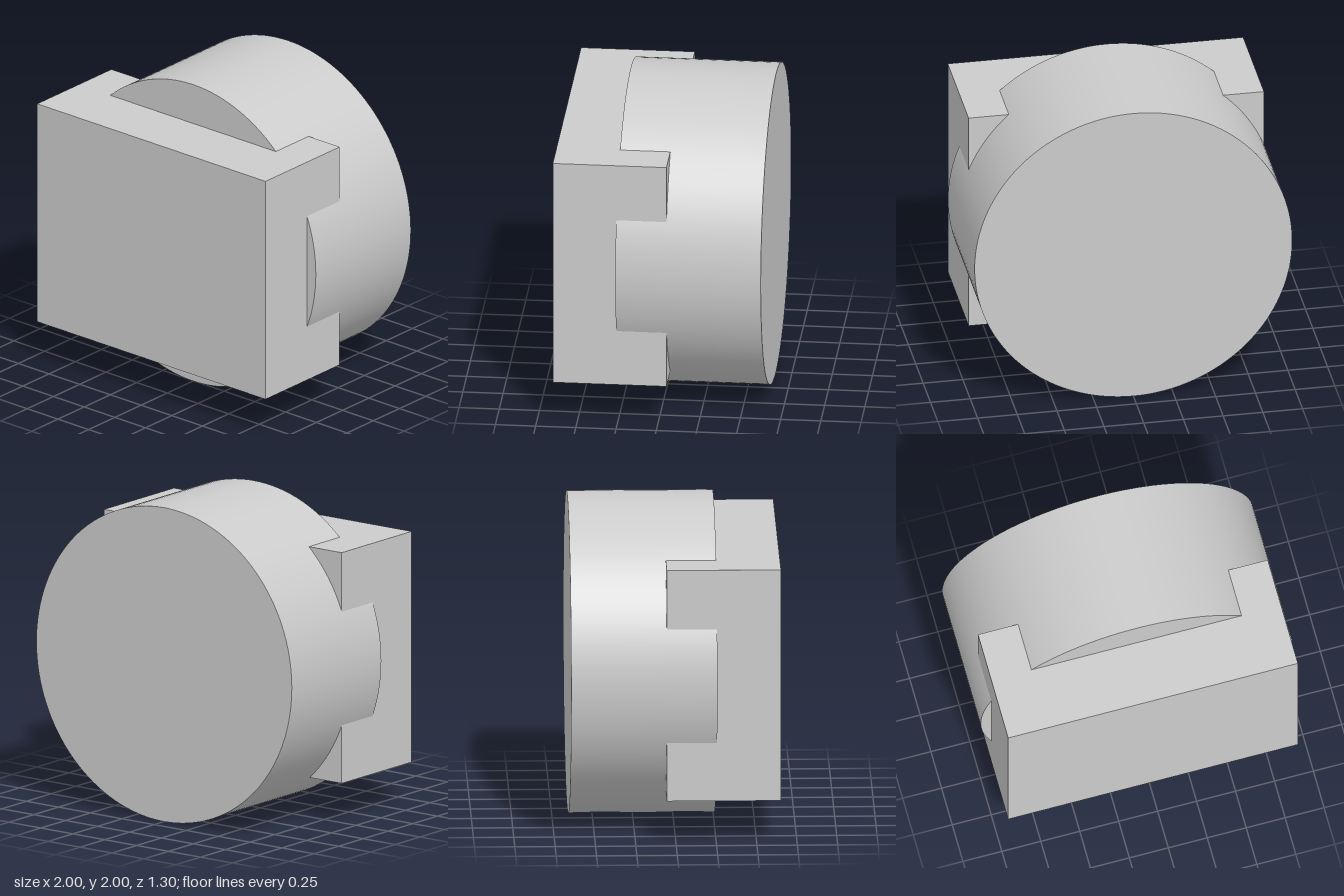
import * as THREE from 'three';

export function createModel() {
  const model = new THREE.Group();
  const material = new THREE.MeshStandardMaterial({ color: 0xcccccc });

  const add = (name, geometry, x, y, z) => {
    const mesh = new THREE.Mesh(geometry, material);
    mesh.name = name;
    mesh.position.set(x, y, z);
    model.add(mesh);
  };

  // Round drum lying along z
  const drumBack = -0.65, drumFront = 0.255;
  const drum = new THREE.CylinderGeometry(1, 1, drumFront - drumBack, 128);
  drum.rotateX(Math.PI / 2);
  add('drum', drum, 0, 1, (drumBack + drumFront) / 2);

  // Rectangular block sunk into the front of the drum, its corners overhanging the rim
  const blockBack = -0.057, blockFront = 0.65;
  const block = new THREE.BoxGeometry(1.86, 1.47, blockFront - blockBack);
  add('frontBlock', block, -0.002, 1.003, (blockBack + blockFront) / 2);

  return model;
}
